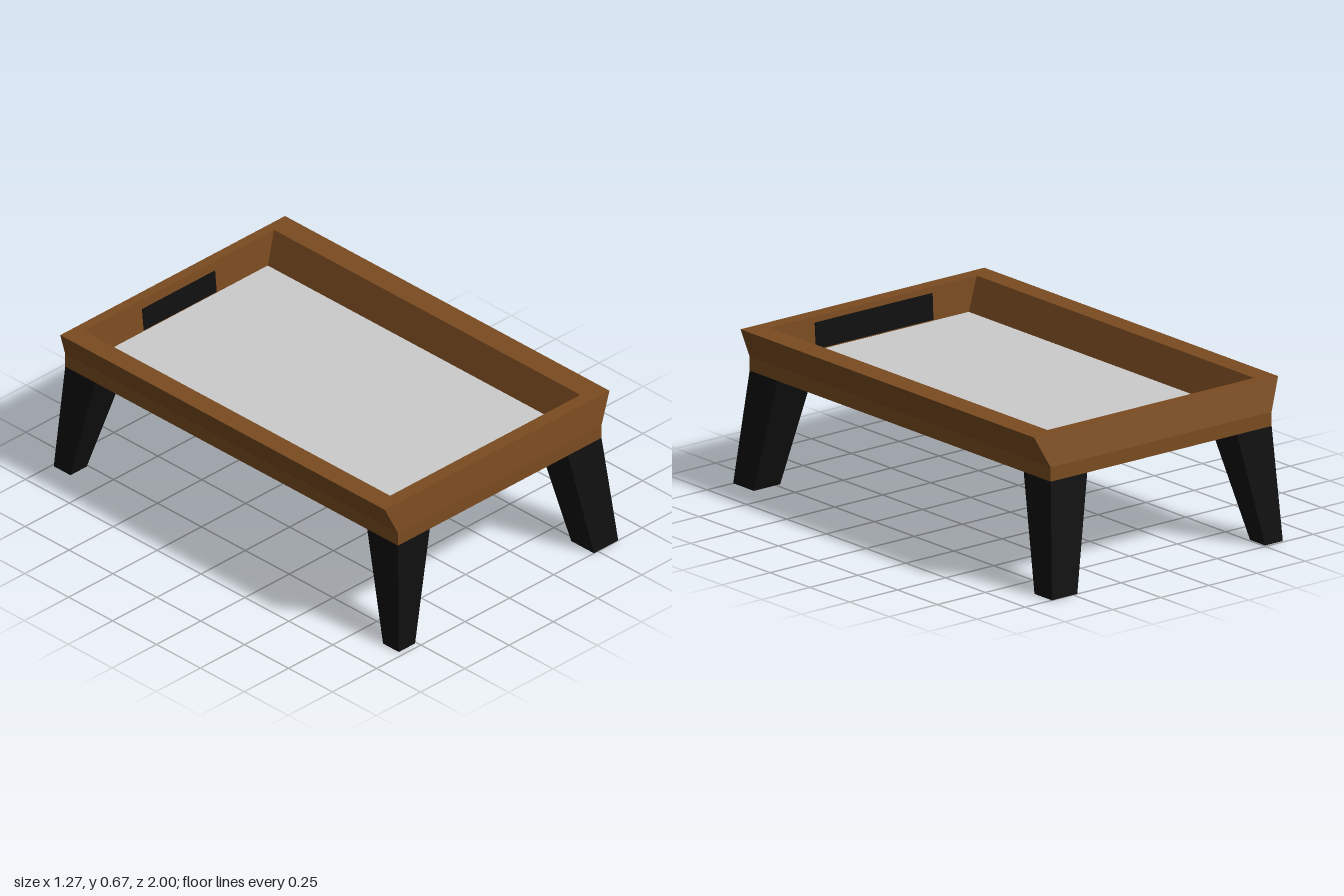
import * as THREE from 'three';

const material = (color) => new THREE.MeshStandardMaterial({ color, flatShading: true });

// Skins a stack of rectangular rings [y, xMin, xMax, zMin, zMax] and closes both ends
function loft(name, rings, mat) {
  const points = [];
  const corners = rings.map(([y, x0, x1, z0, z1]) => [[x0, y, z1], [x1, y, z1], [x1, y, z0], [x0, y, z0]]);
  const quad = (a, b, c, d) => points.push(...a, ...b, ...c, ...a, ...c, ...d);
  for (let r = 0; r < corners.length - 1; r++) {
    for (let i = 0; i < 4; i++) {
      const j = (i + 1) % 4;
      quad(corners[r][i], corners[r][j], corners[r + 1][j], corners[r + 1][i]);
    }
  }
  const [a, b, c, d] = corners[0];
  quad(d, c, b, a);
  quad(...corners[corners.length - 1]);
  const geometry = new THREE.BufferGeometry();
  geometry.setAttribute('position', new THREE.Float32BufferAttribute(points, 3));
  geometry.computeVertexNormals();
  const mesh = new THREE.Mesh(geometry, mat);
  mesh.name = name;
  return mesh;
}

export function createModel() {
  const group = new THREE.Group();
  group.name = 'trayTable';
  const wood = material(0x7a4b20);
  const black = material(0x0f0f0f);
  const grey = material(0xcccccc);

  // Tray: underside, flared outer walls, flat rim, tapered recess
  group.add(loft('trayFrame', [
    [0.48, -0.575, 0.575, -0.95, 0.945],
    [0.54, -0.575, 0.575, -0.95, 0.945],
    [0.67, -0.635, 0.635, -0.918, 0.93],
    [0.67, -0.545, 0.53, -0.875, 0.87],
    [0.525, -0.495, 0.48, -0.86, 0.86],
  ], wood));

  // Panel lying in the recess
  group.add(loft('trayPanel', [
    [0.515, -0.495, 0.48, -0.86, 0.86],
    [0.53, -0.495, 0.48, -0.86, 0.86],
  ], grey));

  // Dark plates on the inner end walls
  group.add(loft('frontPlate', [
    [0.535, -0.31, 0.30, 0.858, 0.875],
    [0.645, -0.31, 0.30, 0.863, 0.88],
  ], black));
  group.add(loft('backPlate', [
    [0.535, -0.22, 0.19, -0.875, -0.858],
    [0.63, -0.22, 0.19, -0.88, -0.867],
  ], black));

  // Splayed, tapering legs: foot and top extents
  const legs = {
    frontLeftLeg: [[0.478, 0.615, 0.87, 1], [0.385, 0.575, 0.77, 0.945]],
    frontRightLeg: [[-0.6, -0.508, 0.885, 0.975], [-0.575, -0.395, 0.77, 0.945]],
    backLeftLeg: [[0.478, 0.61, -1, -0.89], [0.385, 0.575, -0.95, -0.78]],
    backRightLeg: [[-0.6, -0.508, -0.99, -0.895], [-0.575, -0.395, -0.95, -0.78]],
  };
  for (const [name, [foot, top]] of Object.entries(legs)) {
    group.add(loft(name, [[0, ...foot], [0.48, ...top]], black));
  }
  return group;
}
